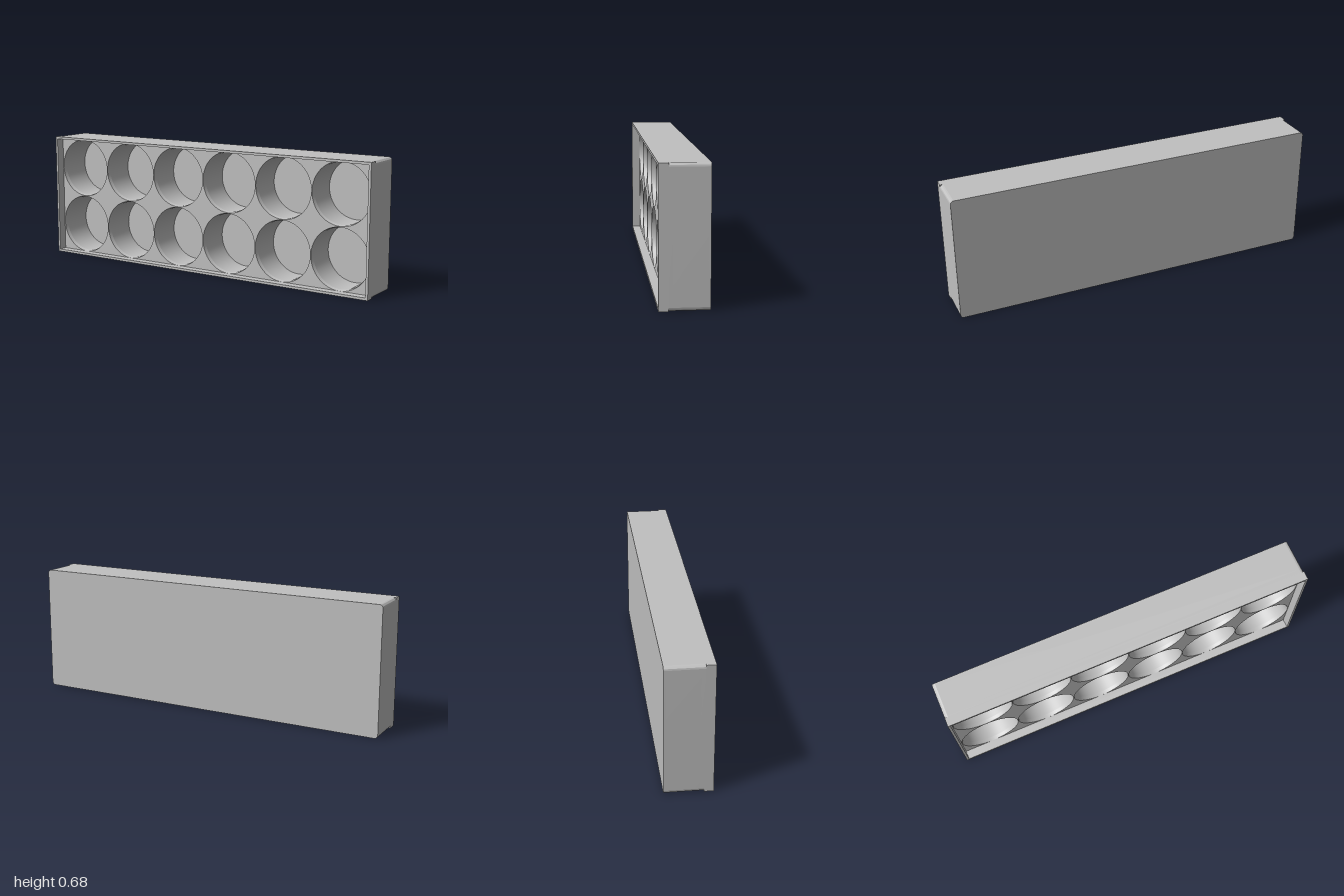
import * as THREE from 'three';
import { toCreasedNormals } from 'three/addons/utils/BufferGeometryUtils.js';

const W = 1, H = 0.34;            // half width, half height
const WALL = 0.013, CORNER = 0.018;
const BACK = -0.12, FLOOR = -0.108, FLARE = 0.053, DECK = 0.073, FRONT = 0.12;
const R = 0.158, RIM = 0.1625, PITCH = 0.3287;

// Rectangle centred on the origin, optionally with rounded corners
function rect(w, h, r, target = new THREE.Shape()) {
  if (!r) {
    target.moveTo(-w, -h).lineTo(w, -h).lineTo(w, h).lineTo(-w, h).lineTo(-w, -h);
    return target;
  }
  target.moveTo(-w + r, -h).lineTo(w - r, -h);
  target.absarc(w - r, -h + r, r, -Math.PI / 2, 0);
  target.absarc(w - r, h - r, r, 0, Math.PI / 2);
  target.absarc(-w + r, h - r, r, Math.PI / 2, Math.PI);
  target.absarc(-w + r, -h + r, r, Math.PI, Math.PI * 1.5);
  return target;
}

// Centres of the two rows of six cups
const centres = [];
for (let row = 0; row < 2; row++)
  for (let col = 0; col < 6; col++)
    centres.push([(col - 2.5) * PITCH, (row - 0.5) * PITCH]);

function withHoles(shape, radius) {
  for (const [x, y] of centres) {
    const hole = new THREE.Path();
    hole.absarc(x, y, radius, 0, Math.PI * 2, true);
    shape.holes.push(hole);
  }
  return shape;
}

export function createModel() {
  const group = new THREE.Group();
  const grey = new THREE.MeshStandardMaterial({ color: 0xc0c0c0 });
  grey.name = 'light grey';
  const greyInside = grey.clone();
  greyInside.side = THREE.BackSide;

  function slab(name, shape, z0, z1) {
    const geo = new THREE.ExtrudeGeometry(shape, { depth: z1 - z0, bevelEnabled: false, curveSegments: 32 });
    const mesh = new THREE.Mesh(toCreasedNormals(geo, 0.5), grey);
    mesh.name = name;
    mesh.position.set(0, H, z0);
    group.add(mesh);
  }

  // Tray body with rounded corners and cup-shaped wells
  slab('backPanel', rect(W, H, CORNER), BACK, FLOOR);
  slab('wellBlock', withHoles(rect(W, H, CORNER), R), FLOOR, FLARE);
  slab('deck', withHoles(rect(W, H, CORNER), RIM), FLARE, DECK);

  // Square-cornered lip around the front
  const lip = rect(W, H, 0);
  lip.holes.push(rect(W - WALL, H - WALL, 0, new THREE.Path()));
  slab('frontLip', lip, DECK, FRONT);

  // Flared rims at the mouth of each well
  const flare = new THREE.CylinderGeometry(RIM, R, DECK - FLARE, 64, 1, true).rotateX(Math.PI / 2);
  centres.forEach(([x, y]) => {
    const rim = new THREE.Mesh(flare, greyInside);
    rim.name = 'wellRim';
    rim.position.set(x, H + y, (DECK + FLARE) / 2);
    group.add(rim);
  });
  return group;
}
